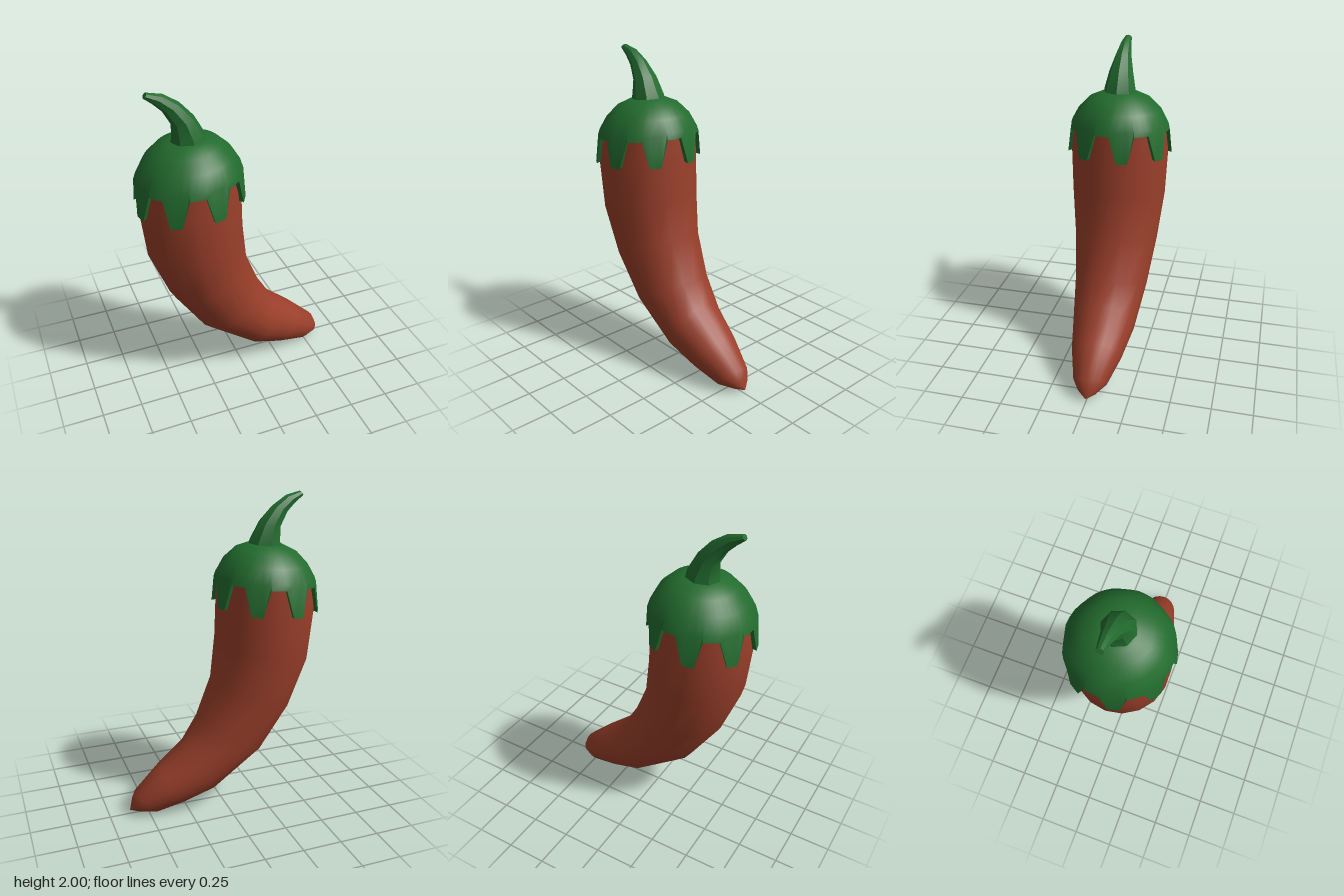
import * as THREE from 'three';
import { mergeVertices, toCreasedNormals } from 'three/addons/utils/BufferGeometryUtils.js';

const red = new THREE.MeshStandardMaterial({ color: 0x9a3f2a });
const green = new THREE.MeshStandardMaterial({ color: 0x226b2e });

// Skin a list of closed rings of points, ordered from top to bottom
function skin(rings, crease) {
  const n = rings[0].length, index = [];
  for (let i = 0; i < rings.length - 1; i++) {
    for (let j = 0; j < n; j++) {
      const k = (j + 1) % n, a = i * n, b = a + n;
      index.push(a + j, a + k, b + k, a + j, b + k, b + j);
    }
  }
  const geometry = new THREE.BufferGeometry();
  geometry.setAttribute('position', new THREE.Float32BufferAttribute(rings.flat(2), 3));
  geometry.setIndex(index);
  const merged = mergeVertices(geometry, 1e-4);
  // Drop the collapsed triangles at the poles
  const src = merged.index.array, kept = [];
  for (let i = 0; i < src.length; i += 3) {
    const [a, b, c] = [src[i], src[i + 1], src[i + 2]];
    if (a !== b && b !== c && a !== c) kept.push(a, b, c);
  }
  merged.setIndex(kept);
  return toCreasedNormals(merged, crease);
}

// Elliptical ring spanning two profile points, with half width w in z
function ring([ax, ay, bx, by, w], sides) {
  return Array.from({ length: sides }, (_, j) => {
    const t = (j / sides) * Math.PI * 2, c = Math.cos(t) / 2;
    return [(ax + bx) / 2 + (bx - ax) * c, (ay + by) / 2 + (by - ay) * c, w * Math.sin(t)];
  });
}

// Calyx: a dome whose rim drops into eight blunt teeth
function calyxGeometry() {
  const columns = [];
  for (let k = 0; k < 8; k++) {
    [[-14, 0], [-6, 1], [6, 1], [14, 0], [22.5, 0]].forEach(([offset, tooth]) =>
      columns.push({ angle: THREE.MathUtils.degToRad(31 + 45 * k + offset), tooth }));
  }
  // Each row: radius and height between teeth, then on a tooth
  const rows = [
    [0, 1.7, 0, 1.7], [0.11, 1.695, 0.11, 1.695], [0.19, 1.66, 0.19, 1.66],
    [0.26, 1.59, 0.26, 1.59], [0.307, 1.51, 0.307, 1.5],
    [0.318, 1.475, 0.332, 1.31], [0.295, 1.475, 0.3, 1.32],
  ];
  return skin(rows.map(([r0, y0, r1, y1]) => columns.map(({ angle, tooth }) => {
    const r = tooth ? r1 : r0, dx = r * Math.cos(angle);
    return [-0.295 + dx, (tooth ? y1 : y0) + 0.08 * dx, r * Math.sin(angle)];
  })), 0.75);
}

export function createModel() {
  const group = new THREE.Group();
  const add = (name, geometry, material) => {
    const mesh = new THREE.Mesh(geometry, material);
    mesh.name = name;
    group.add(mesh);
  };

  // Curved, tapering pod: outer point, inner point, half width
  const pod = [
    [-0.3, 1.56, -0.3, 1.56, 0],
    [-0.59, 1.45, -0.005, 1.5, 0.3],
    [-0.605, 1.3, 0.01, 1.38, 0.31],
    [-0.57, 0.97, 0.02, 1.12, 0.3],
    [-0.45, 0.66, 0.05, 0.85, 0.27],
    [-0.26, 0.37, 0.15, 0.6, 0.235],
    [0.07, 0.12, 0.24, 0.45, 0.2],
    [0.27, 0.05, 0.42, 0.3, 0.16],
    [0.44, 0.005, 0.58, 0.15, 0.105],
    [0.56, 0.02, 0.6, 0.1, 0.06],
    [0.62, 0.03, 0.62, 0.03, 0],
  ];
  add('pod', skin(pod.map((s) => ring(s, 18)), 0.8), red);

  add('calyx', calyxGeometry(), green);

  // Bent stem, from its cut end down to the flared base
  const stem = [
    [-0.52, 1.985, -0.52, 1.985, 0],
    [-0.53, 1.97, -0.51, 2.0, 0.022],
    [-0.48, 1.93, -0.42, 1.98, 0.035],
    [-0.43, 1.88, -0.33, 1.92, 0.05],
    [-0.385, 1.8, -0.25, 1.83, 0.075],
    [-0.385, 1.72, -0.19, 1.72, 0.097],
    [-0.4, 1.65, -0.17, 1.67, 0.11],
  ];
  add('stem', skin(stem.map((s) => ring(s, 8)), 0.6), green);

  return group;
}
